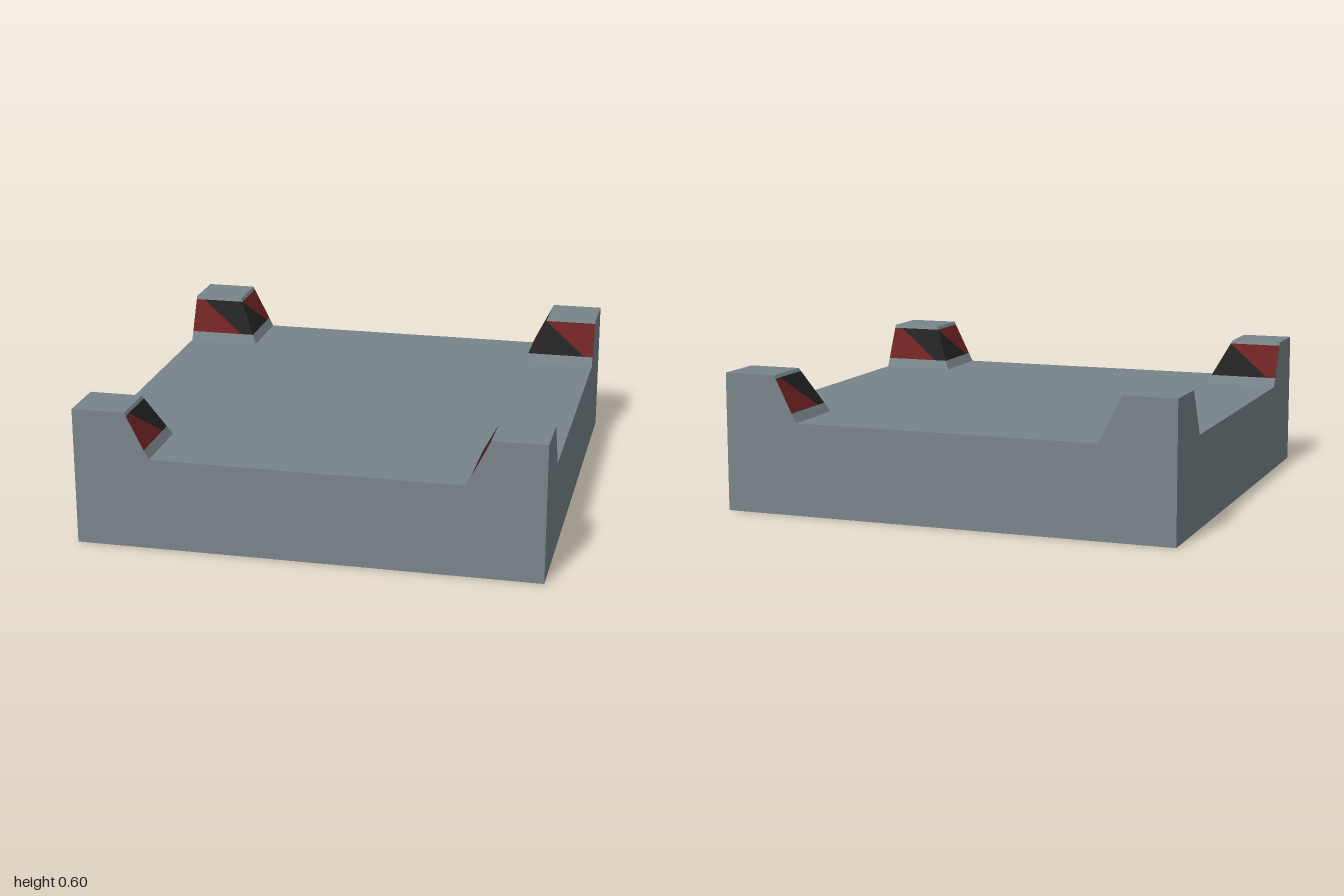
import * as THREE from 'three';

const side = THREE.DoubleSide;
const steel = new THREE.MeshStandardMaterial({ name: 'grey steel', color: 0x78848a, side });
const red = new THREE.MeshStandardMaterial({ name: 'dark red paint', color: 0x6c2222, side });
const black = new THREE.MeshStandardMaterial({ name: 'black paint', color: 0x222222, side });

// Distances from the centre: slope foot, paint edges, slope head
const FOOT = 0.67, LOW = 0.69, HIGH = 0.763, HEAD = 0.77;
const DECK = 0.4, TOP = 0.6;
const slopeY = d => DECK + (d - FOOT) * (TOP - DECK) / (HEAD - FOOT);

// Flat convex polygon, corners counter-clockwise as seen from its front
function facet(name, material, points) {
  const pos = [];
  for (let i = 1; i < points.length - 1; i++) pos.push(...points[0], ...points[i], ...points[i + 1]);
  const geo = new THREE.BufferGeometry();
  geo.setAttribute('position', new THREE.Float32BufferAttribute(pos, 3));
  geo.computeVertexNormals();
  const mesh = new THREE.Mesh(geo, material);
  mesh.name = name;
  return mesh;
}

function sheet(name, points) {
  const shape = new THREE.Shape(points.map(p => new THREE.Vector2(...p)));
  const mesh = new THREE.Mesh(new THREE.ShapeGeometry(shape), steel);
  mesh.name = name;
  return mesh;
}

// Corner post at -x, -z; slope points are [distance along, distance out]
function cornerPost() {
  const post = new THREE.Group();
  post.name = 'cornerPost';
  const left = (name, mat, pts) =>
    post.add(facet(name, mat, pts.map(([u, d]) => [-u, slopeY(d), -d])));
  const right = (name, mat, pts) =>
    post.add(facet(name, mat, pts.map(([u, d]) => [-d, slopeY(d), -u])));

  post.add(facet('postTop', steel, [[-1, TOP, -1], [-1, TOP, -HEAD], [-HEAD, TOP, -HEAD], [-HEAD, TOP, -1]]));

  // Plain borders below and above the paint
  for (const [a, b] of [[FOOT, LOW], [HIGH, HEAD]]) {
    left('slopeBorder', steel, [[1, a], [a, a], [b, b], [1, b]]);
    right('slopeBorder', steel, [[a, a], [1, a], [1, b], [b, b]]);
  }
  // Diagonal warning stripes
  left('redStripe', red, [[1, LOW], [0.75, LOW], [0.96, HIGH], [1, HIGH]]);
  left('blackStripe', black, [[0.75, LOW], [LOW, LOW], [HIGH, HIGH], [0.96, HIGH]]);
  right('blackStripe', black, [[LOW, LOW], [0.96, LOW], [HIGH, HIGH]]);
  right('redStripe', red, [[0.96, LOW], [1, LOW], [1, HIGH], [HIGH, HIGH]]);
  return post;
}

export function createModel() {
  const model = new THREE.Group();
  model.name = 'platform';

  // Cross-shaped deck, leaving the hollow corners open
  const deck = sheet('deck', [
    [-FOOT, -1], [FOOT, -1], [FOOT, -FOOT], [1, -FOOT], [1, FOOT], [FOOT, FOOT],
    [FOOT, 1], [-FOOT, 1], [-FOOT, FOOT], [-1, FOOT], [-1, -FOOT], [-FOOT, -FOOT]]);
  deck.rotation.x = -Math.PI / 2;
  deck.position.y = DECK;
  model.add(deck);

  // Four thin walls and four corner posts, open underneath
  for (let i = 0; i < 4; i++) {
    const quarter = new THREE.Group();
    quarter.name = 'quarter';
    quarter.rotation.y = i * Math.PI / 2;
    const wall = sheet('sideWall', [
      [-1, 0], [1, 0], [1, TOP], [HEAD, TOP], [FOOT, DECK], [-FOOT, DECK], [-HEAD, TOP], [-1, TOP]]);
    wall.position.z = 1;
    quarter.add(wall, cornerPost());
    model.add(quarter);
  }
  return model;
}
